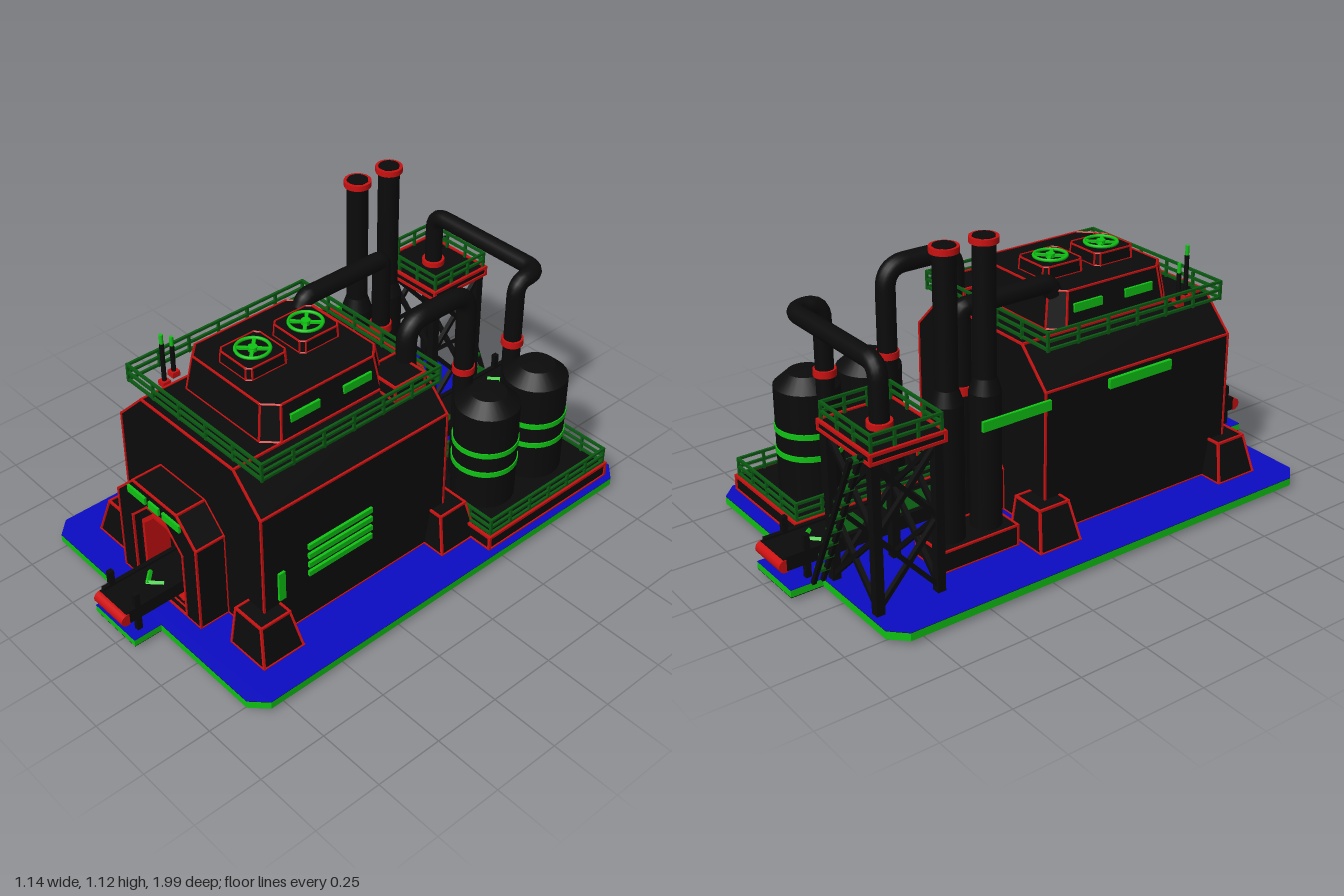
import * as THREE from 'three';
import { mergeGeometries } from 'three/addons/utils/BufferGeometryUtils.js';

const V = (x, y, z) => new THREE.Vector3(x, y, z);
const material = (name, color) => {
  const m = new THREE.MeshStandardMaterial({ color });
  m.name = name;
  return m;
};

export function createModel() {
  const root = new THREE.Group();
  root.name = 'factory';
  const black = material('black', 0x0b0b0b);
  const red = material('red trim', 0xcc1111);
  const green = material('bright green', 0x10c414);
  const darkGreen = material('dark green', 0x0a5a12);
  const blue = material('blue floor', 0x0c0cc4);

  const add = (name, geo, mat) => {
    const m = new THREE.Mesh(geo, mat);
    m.name = name;
    root.add(m);
    return m;
  };
  // Box given by its minimum and maximum on each axis
  const boxGeo = (x0, x1, y0, y1, z0, z1) =>
    new THREE.BoxGeometry(x1 - x0, y1 - y0, z1 - z0).translate((x0 + x1) / 2, (y0 + y1) / 2, (z0 + z1) / 2);
  const box = (name, mat, ...b) => add(name, boxGeo(...b), mat);
  // Square bar between two points
  const bar = (a, b, w) => {
    const g = new THREE.BoxGeometry(w, a.distanceTo(b) + w * 0.9, w);
    const q = new THREE.Quaternion().setFromUnitVectors(V(0, 1, 0), b.clone().sub(a).normalize());
    const mid = a.clone().add(b).multiplyScalar(0.5);
    return g.applyQuaternion(q).translate(mid.x, mid.y, mid.z);
  };
  const bars = (name, pairs, w, mat) => add(name, mergeGeometries(pairs.map(([a, b]) => bar(a, b, w))), mat);
  // Solid part with trim bars along its hard edges
  const trimmed = (name, geo, w = 0.007, mat = black) => {
    add(name, geo, mat);
    const p = new THREE.EdgesGeometry(geo, 25).attributes.position;
    const pairs = [];
    for (let i = 0; i < p.count; i += 2) {
      pairs.push([new THREE.Vector3().fromBufferAttribute(p, i), new THREE.Vector3().fromBufferAttribute(p, i + 1)]);
    }
    bars(name + ' trim', pairs, w, red);
  };
  const shapeOf = (pts) => new THREE.Shape(pts.map(([x, y]) => new THREE.Vector2(x, y)));
  const prism = (shape, z0, z1) =>
    new THREE.ExtrudeGeometry(shape, { depth: z1 - z0, bevelEnabled: false }).translate(0, 0, z0);
  const chamfered = (w, d, c) => shapeOf([
    [-w + c, -d], [w - c, -d], [w, -d + c], [w, d - c], [w - c, d], [-w + c, d], [-w, d - c], [-w, -d + c]]);
  // Chamfered block narrowing towards its top
  const frustum = (w, d, c, h, sx, sz) => {
    const g = prism(chamfered(w, d, c), 0, h).rotateX(-Math.PI / 2);
    const p = g.attributes.position;
    for (let i = 0; i < p.count; i++) {
      if (p.getY(i) > h / 2) p.setXYZ(i, p.getX(i) * sx, h, p.getZ(i) * sz);
    }
    g.computeVertexNormals();
    return g;
  };
  const cyl = (name, mat, x, z, y0, y1, r, r2 = r, n = 24) =>
    add(name, new THREE.CylinderGeometry(r2, r, y1 - y0, n).translate(x, (y0 + y1) / 2, z), mat);
  // Round pipe with rounded elbows
  const pipe = (name, pts, r, e = 0.055) => {
    const path = new THREE.CurvePath();
    let last = pts[0];
    for (let i = 1; i < pts.length - 1; i++) {
      const a = pts[i].clone().add(pts[i - 1].clone().sub(pts[i]).setLength(e));
      const b = pts[i].clone().add(pts[i + 1].clone().sub(pts[i]).setLength(e));
      path.add(new THREE.LineCurve3(last, a));
      path.add(new THREE.QuadraticBezierCurve3(a, pts[i], b));
      last = b;
    }
    path.add(new THREE.LineCurve3(last, pts[pts.length - 1]));
    add(name, new THREE.TubeGeometry(path, 100, r, 16), black);
  };
  // Rectangular railing: rails at several heights, posts along each side
  const railing = (name, x0, x1, z0, z1, y, heights, nx, nz) => {
    const pairs = [];
    const c = [[x0, z0], [x1, z0], [x1, z1], [x0, z1]];
    c.forEach(([ax, az], k) => {
      const [bx, bz] = c[(k + 1) % 4];
      for (const h of heights) pairs.push([V(ax, y + h, az), V(bx, y + h, bz)]);
      const n = k % 2 ? nz : nx;
      for (let i = 0; i < n; i++) {
        const px = ax + (bx - ax) * i / n, pz = az + (bz - az) * i / n;
        pairs.push([V(px, y, pz), V(px, y + heights[0], pz)]);
      }
    });
    bars(name, pairs, 0.009, darkGreen);
  };

  // Base plate, conveyor strip and footings
  const plate = chamfered(0.57, 0.863, 0.055);
  const lay = (g, y) => g.rotateX(-Math.PI / 2).translate(0, y, 0);
  add('base plate', lay(prism(plate, 0, 0.028), 0.016), [black, green]);
  add('floor', lay(new THREE.ShapeGeometry(plate), 0.0455), blue);
  box('conveyor strip', green, -0.148, 0.07, 0.018, 0.043, -0.98, 0.97);
  box('strip floor', blue, -0.148, 0.07, 0.043, 0.0452, -0.98, 0.97);
  box('strip underside', black, -0.147, 0.069, 0.015, 0.018, -0.979, 0.969);
  box('tower footing', black, -0.44, -0.15, 0, 0.016, -0.85, -0.59);
  box('tank footing', black, 0.13, 0.53, 0, 0.016, -0.8, -0.2);

  // Main hall
  trimmed('main hall', prism(shapeOf([[-0.363, 0.045], [0.363, 0.045], [0.363, 0.57], [0.237, 0.697],
    [-0.237, 0.697], [-0.363, 0.57]]), -0.14, 0.66));
  railing('roof railing', -0.342, 0.342, -0.117, 0.632, 0.703, [0.062, 0.033, 0.004], 5, 6);

  // Roof house with side windows and fans
  trimmed('roof house', frustum(0.235, 0.26, 0.05, 0.128, 0.92, 0.92).translate(0, 0.697, 0.255), 0.006);
  for (const s of [-1, 1]) for (const z of [0.14, 0.36]) {
    box('roof window', green, s * 0.227 - 0.005, s * 0.227 + 0.005, 0.75, 0.78, z - 0.06, z + 0.06);
  }
  for (const z of [0.143, 0.365]) {
    trimmed('fan housing', frustum(0.08, 0.083, 0.015, 0.043, 0.97, 0.97).translate(-0.02, 0.825, z), 0.005);
    add('fan ring', new THREE.TorusGeometry(0.057, 0.006, 8, 28).rotateX(Math.PI / 2).translate(-0.02, 0.876, z), green);
    for (const a of [1, -1]) {
      add('fan blade', new THREE.BoxGeometry(0.105, 0.008, 0.012).rotateY(a * Math.PI / 4).translate(-0.02, 0.875, z), green);
    }
    cyl('fan hub', green, -0.02, z, 0.868, 0.883, 0.016);
  }

  // Front and back portals
  const arch = (x0, x1, y1, c) => [[x0, 0.045], [x1, 0.045], [x1, y1 - c], [x1 - c, y1], [x0 + c, y1], [x0, y1 - c]];
  const cut = (outer, inner) => {
    const s = shapeOf(outer);
    s.holes.push(new THREE.Path(shapeOf(inner).getPoints().reverse()));
    return s;
  };
  const raise = (pts) => pts.map(([x, y]) => [x, Math.max(y, 0.047)]);
  trimmed('front portal', prism(cut(arch(-0.245, 0.172, 0.475, 0.092), raise(arch(-0.172, 0.098, 0.404, 0.088))), 0.66, 0.775));
  add('portal inner frame', prism(cut(arch(-0.172, 0.098, 0.404, 0.088), raise(arch(-0.15, 0.078, 0.36, 0.062))), 0.66, 0.75), black);
  add('portal door trim', prism(cut(arch(-0.15, 0.078, 0.36, 0.062), raise(arch(-0.137, 0.065, 0.347, 0.057))), 0.66, 0.757), red);
  for (const [a, b] of [[-0.177, -0.082], [-0.064, -0.01], [0.01, 0.1]]) {
    box('portal light', green, a, b, 0.418, 0.446, 0.775, 0.784);
  }
  trimmed('back portal', prism(shapeOf(arch(-0.135, 0.085, 0.25, 0.05)), -0.225, -0.14));

  // Corner buttresses
  for (const s of [-1, 1]) for (const z of [0.655, -0.14]) {
    const g = new THREE.BoxGeometry(0.165, 0.137, 0.165);
    const p = g.attributes.position;
    for (let i = 0; i < p.count; i++) if (p.getY(i) > 0) {
      p.setX(i, p.getX(i) * s > 0 ? s * 0.045 : p.getX(i));
      p.setZ(i, p.getZ(i) * 0.72);
    }
    g.computeVertexNormals();
    trimmed('buttress', g.translate(s * 0.368, 0.113, z), 0.008);
  }

  // Wall vents and lights
  for (const y of [0.24, 0.277, 0.315, 0.354]) box('louvre', green, 0.363, 0.373, y - 0.01, y + 0.01, 0.2, 0.475);
  box('wall light', green, 0.363, 0.372, 0.2, 0.315, 0.575, 0.602);
  box('left wall vent', green, -0.376, -0.363, 0.515, 0.55, 0.12, 0.39);
  box('stack bridge', green, -0.382, -0.371, 0.515, 0.55, -0.4, -0.13);

  // Roof aerials
  for (const [x, z, y] of [[-0.257, 0.55, 0.89], [-0.28, 0.495, 0.845]]) {
    box('aerial base', red, x - 0.015, x + 0.015, 0.69, 0.71, z - 0.015, z + 0.015);
    cyl('aerial mast', black, x, z, 0.69, y - 0.035, 0.008, 0.008, 10);
    cyl('aerial light', green, x, z, y - 0.04, y, 0.007, 0.007, 10);
  }

  // Conveyor with end rollers and direction arrows
  box('conveyor', black, -0.112, 0.037, 0.1, 0.138, -0.98, 0.97);
  for (const x of [-0.108, 0.033]) box('conveyor side', black, x - 0.008, x + 0.008, 0.095, 0.146, -0.97, 0.96);
  for (const z of [-0.975, 0.97]) {
    add('end roller', new THREE.CylinderGeometry(0.023, 0.023, 0.155, 18).rotateZ(Math.PI / 2).translate(-0.037, 0.113, z), red);
  }
  for (const z of [-0.895, 0.925]) for (const x of [-0.108, 0.033]) {
    box('conveyor post', black, x - 0.009, x + 0.009, 0.045, 0.2, z - 0.01, z + 0.01);
  }
  for (const [z, d] of [[-0.84, -1], [-0.29, -1], [0.81, 1]]) {
    bars('belt arrow', [-1, 1].map((s) => [V(-0.037 + s * 0.035, 0.138, z - d * 0.015), V(-0.037, 0.138, z + d * 0.02)]), 0.012, green);
  }
  for (const z of [-0.7, -0.5, -0.36]) box('belt panel', darkGreen, -0.085, 0.012, 0.138, 0.14, z - 0.05, z + 0.05);

  // Tank platform, tanks and bands
  trimmed('tank platform', boxGeo(0.118, 0.538, 0.045, 0.098, -0.805, -0.2), 0.01);
  railing('tank railing', 0.127, 0.53, -0.797, -0.21, 0.1, [0.066, 0.036, 0.008], 4, 6);
  for (const z of [-0.62, -0.375]) {
    const profile = [[0.115, 0.098], [0.115, 0.485], [0.115, 0.485], [0.065, 0.53], [0.065, 0.53], [0, 0.535]];
    add('tank', new THREE.LatheGeometry(profile.map(([r, y]) => new THREE.Vector2(r, y)), 28).translate(0.33, 0, z), black);
    for (const y of [0.25, 0.333]) cyl('tank band', green, 0.33, z, y - 0.01, y + 0.01, 0.119, 0.119, 28);
    cyl('pipe collar', red, 0.212, z + 0.005, 0.555, 0.58, 0.04);
  }

  // Chimney stacks
  trimmed('stack base', boxGeo(-0.355, -0.205, 0.045, 0.12, -0.545, -0.245));
  for (const z of [-0.465, -0.318]) {
    cyl('stack foot', black, -0.278, z, 0.1, 0.6, 0.054);
    cyl('stack taper', black, -0.278, z, 0.6, 0.65, 0.054, 0.038);
    cyl('stack', black, -0.278, z, 0.64, 1.118, 0.038);
    cyl('stack cap', red, -0.278, z, 1.098, 1.118, 0.048);
    cyl('stack mouth', black, -0.278, z, 1.117, 1.121, 0.036);
  }

  // Pipework
  pipe('right roof pipe', [V(0.212, 0.69, -0.09), V(0.212, 0.88, -0.09), V(0.212, 0.88, -0.37), V(0.212, 0.1, -0.37)], 0.035, 0.08);
  trimmed('pipe valve box', boxGeo(0.17, 0.31, 0.69, 0.742, -0.08, 0.05), 0.008);
  pipe('left roof pipe', [V(-0.165, 0.81, 0.04), V(-0.165, 0.847, 0.02), V(-0.165, 0.847, -0.33), V(-0.165, 0.1, -0.33)], 0.033, 0.02);
  cyl('left pipe collar', red, -0.165, -0.33, 0.555, 0.585, 0.04);
  pipe('tower pipe', [V(-0.3, 0.6, -0.725), V(-0.3, 0.812, -0.725), V(0.212, 0.812, -0.725), V(0.212, 0.812, -0.615),
    V(0.212, 0.1, -0.615)], 0.032);
  cyl('tower pipe collar', red, -0.3, -0.725, 0.605, 0.625, 0.042);

  // Tower: legs, cross bracing, deck and railing
  const tx = [-0.425, -0.168], tz = [-0.83, -0.605];
  const legs = [], braces = [];
  for (const x of tx) for (const z of tz) legs.push([V(x, 0.055, z), V(x, 0.57, z)]);
  for (const [a, b] of [[0.06, 0.31], [0.31, 0.56]]) {
    for (const [y0, y1] of [[a, b], [b, a]]) {
      for (const z of tz) braces.push([V(tx[0], y0, z), V(tx[1], y1, z)]);
      for (const x of tx) braces.push([V(x, y0, tz[0]), V(x, y1, tz[1])]);
    }
  }
  bars('tower legs', legs, 0.03, black);
  bars('tower braces', braces, 0.016, black);
  trimmed('tower deck', boxGeo(-0.445, -0.148, 0.573, 0.602, -0.85, -0.585), 0.01);
  railing('tower railing', -0.438, -0.155, -0.843, -0.593, 0.603, [0.06, 0.03], 3, 3);

  // Steep stair behind the tower
  bars('stair stringers', [-0.865, -0.9].map((z) => [V(-0.155, 0.05, z), V(-0.415, 0.59, z)]), 0.014, black);
  for (let i = 0; i < 9; i++) {
    const x = -0.17 - i * 0.029, y = 0.1 + i * 0.06;
    box('stair tread', darkGreen, x - 0.016, x + 0.016, y - 0.005, y + 0.005, -0.895, -0.855);
  }
  return root;
}
